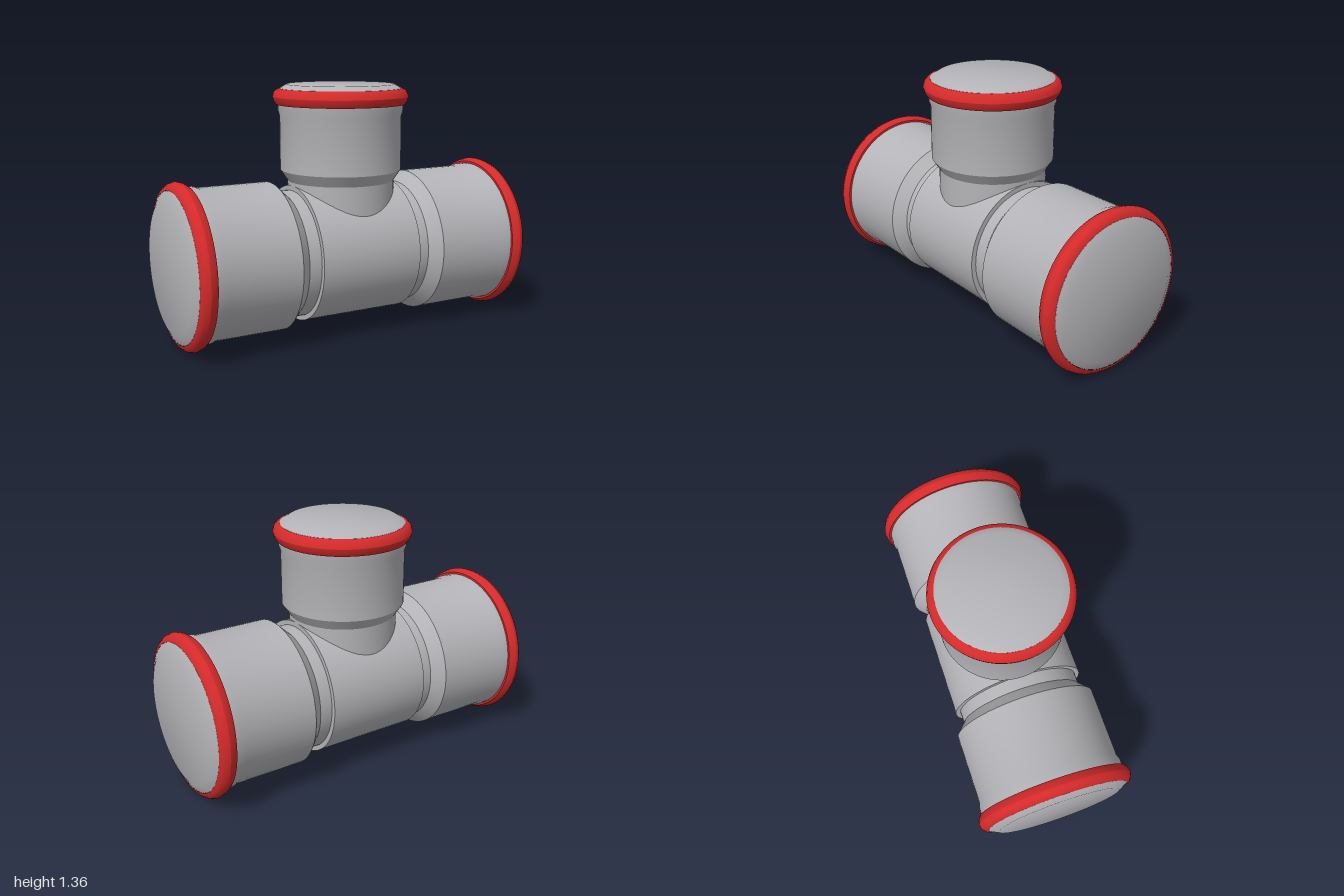
import * as THREE from 'three';
import { toCreasedNormals } from 'three/addons/utils/BufferGeometryUtils.js';

const AXIS_Y = 0.445; // height of the main pipe's axis

// Revolve [radius, height] points, listed bottom to top
function turned(name, points, material) {
  const profile = points.map(([r, h]) => new THREE.Vector2(r, h));
  const geometry = toCreasedNormals(new THREE.LatheGeometry(profile, 64), 0.53);
  const mesh = new THREE.Mesh(geometry, material);
  mesh.name = name;
  return mesh;
}

// Rounded seal bead: r is the socket radius, h the lower edge of the bead
function seal(r, h, material) {
  return turned('sealRing', [
    [r, h], [r + 0.022, h], [r + 0.034, h + 0.018], [r + 0.04, h + 0.042],
    [r + 0.033, h + 0.064], [r + 0.018, h + 0.08], [r - 0.002, h + 0.086],
  ], material);
}

export function createModel() {
  const steel = new THREE.MeshStandardMaterial({ color: 0xb4b4b8 });
  steel.name = 'steel';
  const red = new THREE.MeshStandardMaterial({ color: 0xd42a2a });
  red.name = 'sealRed';

  const model = new THREE.Group();
  model.name = 'pipeTee';

  // Central body with its two shoulders
  const body = turned('centralBody', [
    [0.345, -0.295], [0.373, -0.295], [0.373, 0.295], [0.345, 0.295],
  ], steel);
  body.rotation.z = -Math.PI / 2;
  body.position.y = AXIS_Y;
  model.add(body);

  // Mirrored end sockets: neck, cone, flared mouth and shallow cap
  for (const side of [1, -1]) {
    const socket = new THREE.Group();
    socket.name = side > 0 ? 'leftSocket' : 'rightSocket';
    socket.add(turned('socketShell', [
      [0.346, 0.28], [0.346, 0.365], [0.404, 0.428], [0.404, 0.82],
      [0.413, 0.85], [0.413, 0.93],
    ], steel));
    socket.add(turned('endCap', [
      [0.40, 0.97], [0.40, 0.976], [0.35, 1.0], [0, 1.0],
    ], steel));
    socket.add(seal(0.403, 0.89, red));
    socket.rotation.z = -side * Math.PI / 2;
    socket.position.y = AXIS_Y;
    model.add(socket);
  }

  // Upright branch socket
  const branch = new THREE.Group();
  branch.name = 'branchSocket';
  branch.add(turned('branchShell', [
    [0.295, 0.6], [0.295, 0.835], [0.335, 0.895], [0.335, 1.19],
    [0.344, 1.22], [0.344, 1.29],
  ], steel));
  branch.add(turned('branchCap', [
    [0.334, 1.33], [0.334, 1.338], [0.295, 1.36], [0, 1.36],
  ], steel));
  branch.add(seal(0.333, 1.252, red));
  model.add(branch);

  return model;
}
